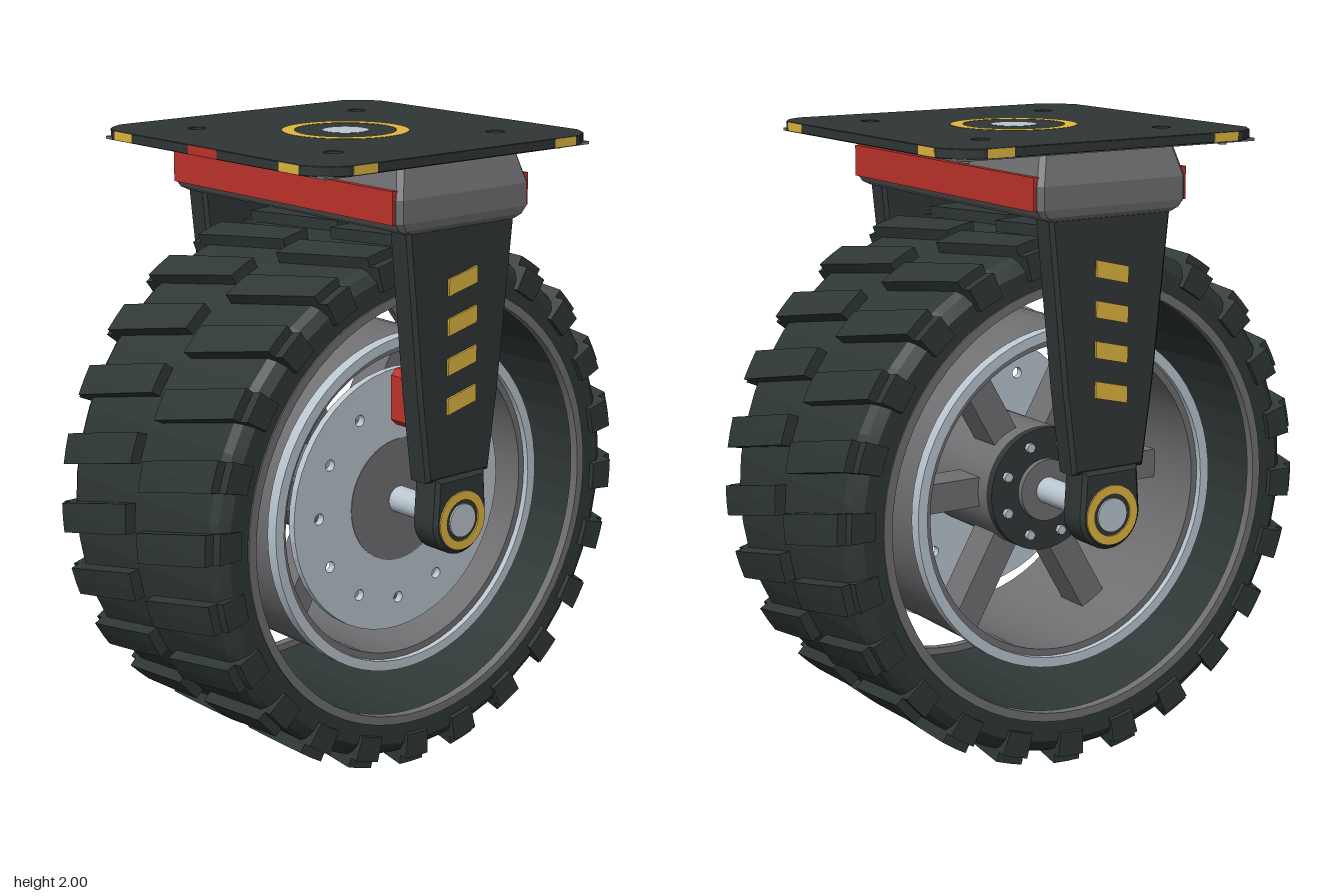
import * as THREE from 'three';
import { toCreasedNormals } from 'three/addons/utils/BufferGeometryUtils.js';
import { ConvexGeometry } from 'three/addons/geometries/ConvexGeometry.js';

const mat = (name, color) => Object.assign(new THREE.MeshStandardMaterial({ color }), { name });

export function createModel() {
  const model = new THREE.Group();
  model.name = 'casterWheel';
  const rubber = mat('rubber', 0x2f3737);
  const paint = mat('darkPaint', 0x303636);
  const steel = mat('greySteel', 0x707073);
  const silver = mat('silver', 0xbac6cf);
  const red = mat('red', 0xc0322b);
  const gold = mat('gold', 0xe0b740);
  const AXLE = 0.855;

  const wheel = new THREE.Group();
  wheel.name = 'wheel';
  wheel.position.y = AXLE;
  model.add(wheel);

  const add = (name, geo, material, parent = model, x = 0, y = 0, z = 0) => {
    const mesh = new THREE.Mesh(geo, material);
    mesh.name = name;
    mesh.position.set(x, y, z);
    parent.add(mesh);
    return mesh;
  };
  const box = (w, h, d) => new THREE.BoxGeometry(w, h, d);
  // profile of [radius, x] pairs turned about the x axis
  const turned = (pts, segs = 64, crease = 0.5) => toCreasedNormals(
    new THREE.LatheGeometry(pts.map(p => new THREE.Vector2(...p)), segs).rotateZ(-Math.PI / 2), crease);
  const ring = (r0, r1, x0, x1, segs) =>
    turned([[r0, x0], [r1, x0], [r1, x1], [r0, x1], [r0, x0]], segs);
  const rod = (r, x0, x1, segs = 32) =>
    new THREE.CylinderGeometry(r, r, x1 - x0, segs).rotateZ(-Math.PI / 2).translate((x0 + x1) / 2, 0, 0);
  // outline drawn in the side plane, thickened along x from x0 to x1
  const sidePlate = (shape, x0, x1, bevel = 0) => new THREE.ExtrudeGeometry(shape, {
    depth: x1 - x0 - 2 * bevel, bevelEnabled: bevel > 0, bevelSize: bevel, bevelOffset: -bevel,
    bevelThickness: bevel, bevelSegments: 1, curveSegments: 24,
  }).rotateY(Math.PI / 2).translate(x0 + bevel, 0, 0);
  const poly = pts => new THREE.Shape(pts.map(p => new THREE.Vector2(...p)));
  const mirrored = (s, u, v) => s > 0 ? [u, v] : [-v, -u];
  const circle = (x, y, r) => new THREE.Path().absarc(x, y, r, 0, Math.PI * 2, true);

  // Tyre carcass, faceted
  add('tyre', turned([[0.704, -0.385], [0.775, -0.385], [0.805, -0.365], [0.82, -0.34], [0.82, 0.34],
    [0.805, 0.365], [0.775, 0.385], [0.704, 0.385], [0.704, -0.385]], 48, 0.1), rubber, wheel);

  // Tread lugs: boxes wrapped round the tyre, each half skewed about its own middle
  const lug = (s, u, v, r0, r1, angle, width) => {
    const [x0, x1] = mirrored(s, u, v);
    const g = new THREE.BoxGeometry(x1 - x0, r1 - r0, width, 4, 1, 2).toNonIndexed();
    const p = g.attributes.position;
    for (let i = 0; i < p.count; i++) {
      const x = p.getX(i) + (x0 + x1) / 2, r = p.getY(i) + (r0 + r1) / 2;
      const a = angle + 0.265 * (x - s * 0.2) - p.getZ(i);
      p.setXYZ(i, x, r * Math.sin(a), r * Math.cos(a));
    }
    g.computeVertexNormals();
    return g;
  };
  const LUGS = 24, step = Math.PI * 2 / LUGS;
  for (let i = 0; i < LUGS; i++) for (const s of [-1, 1]) {
    add('treadLug', lug(s, 0.028, 0.37, 0.8, 0.855, i * step, step * 0.44), rubber, wheel);
    add('shoulderLug', lug(s, 0.365, 0.402, 0.745, 0.825, i * step, step * 0.44), rubber, wheel);
  }

  // Bead rings, rim barrel and lips
  for (const s of [-1, 1]) {
    add('beadRing', ring(0.68, 0.708, s * 0.375 - 0.015, s * 0.375 + 0.015), steel, wheel);
    add('rimLip', ring(0.518, 0.55, s * 0.3 - 0.02, s * 0.3 + 0.02), silver, wheel);
  }
  add('rimBarrel', ring(0.496, 0.54, -0.3, 0.3), steel, wheel);

  // Hub, bolted flange and spokes
  add('hub', rod(0.2, -0.15, 0.262, 48), steel, wheel);
  add('hubFlange', rod(0.2, -0.18, -0.15, 48), paint, wheel);
  add('flangeCollar', rod(0.1, -0.2, -0.18), steel, wheel);
  for (let i = 0; i < 8; i++) {
    const a = (i + 0.5) * Math.PI / 4;
    add('flangeBolt', rod(0.016, -0.195, -0.175, 6), silver, wheel, 0, 0.155 * Math.sin(a), 0.155 * Math.cos(a));
  }
  for (let i = 0; i < 6; i++) {
    add('spoke', box(0.12, 0.095, 0.36).translate(-0.04, 0, 0.335), steel, wheel).rotation.x = i * Math.PI / 3;
  }

  // Brake disc with twelve holes, and caliper
  const disc = new THREE.Shape().absarc(0, 0, 0.43, 0, Math.PI * 2);
  disc.holes.push(circle(0, 0, 0.195));
  for (let i = 0; i < 12; i++) {
    const a = i * Math.PI / 6;
    disc.holes.push(circle(0.33 * Math.cos(a), 0.33 * Math.sin(a), 0.018));
  }
  add('brakeDisc', sidePlate(disc, 0.235, 0.26), silver, wheel);
  const caliper = poly([[-0.08, 1.13], [0.08, 1.13], [0.1, 1.15], [0.1, 1.29], [0.08, 1.31],
    [-0.08, 1.31], [-0.1, 1.29], [-0.1, 1.15]]);
  add('brakeCaliper', sidePlate(caliper, 0.32, 0.435, 0.012), red);

  // Axle
  add('axle', rod(0.043, -0.5, 0.5), silver, wheel);

  // Fork legs with axle ends and slanted stripes
  const legShape = poly([[-0.13, 0.99], [0.13, 0.99], [0.165, 1.25], [0.22, 1.78], [-0.22, 1.78], [-0.165, 1.25]]);
  const endShape = new THREE.Shape();
  endShape.moveTo(0.1, 1.0);
  endShape.lineTo(-0.1, 1.0);
  endShape.lineTo(-0.11, AXLE);
  endShape.absarc(0, AXLE, 0.11, Math.PI, Math.PI * 2);
  endShape.lineTo(0.1, 1.0);
  for (const s of [-1, 1]) {
    add('forkLeg', sidePlate(legShape, ...mirrored(s, 0.447, 0.537), 0.012), paint);
    add('axleEnd', sidePlate(endShape, ...mirrored(s, 0.44, 0.55), 0.012), paint);
    add('axleEndRing', ring(0.066, 0.094, ...mirrored(s, 0.546, 0.555), 32), gold, wheel);
    add('axleCap', rod(0.053, ...mirrored(s, 0.5, 0.556)), silver, wheel);
    for (const y of [1.605, 1.483, 1.36, 1.237]) {
      const stripe = poly([[-0.058, y - 0.04], [0.058, y - 0.012], [0.058, y + 0.04], [-0.058, y + 0.012]]);
      add('legStripe', sidePlate(stripe, ...mirrored(s, 0.536, 0.544)), gold);
    }
  }

  // Crown beam with red strips on both faces
  const corners = [];
  for (const [y, hx, hz] of [[1.77, 0.54, 0.225], [1.782, 0.546, 0.25], [1.805, 0.55, 0.266],
    [1.875, 0.55, 0.266], [1.97, 0.522, 0.24]])
    for (const sx of [-1, 1]) for (const sz of [-1, 1]) {
      corners.push(new THREE.Vector3(sx * hx, y, sz * (hz - 0.015)), new THREE.Vector3(sx * (hx - 0.015), y, sz * hz));
    }
  add('crown', new ConvexGeometry(corners), steel);
  for (const s of [-1, 1]) add('crownStrip', box(1.06, 0.1, 0.02), red, model, 0, 1.852, s * 0.266);

  // Mounting plate with clipped corners and bolt holes
  const P = 0.56, C = 0.465, M = 0.53;
  const outline = [];
  for (let q = 0; q < 4; q++) {
    const c = Math.round(Math.cos(q * Math.PI / 2)), n = Math.round(Math.sin(q * Math.PI / 2));
    for (const [u, v] of [[P, C], [M, M - 0.015], [M - 0.015, M], [C, P]]) outline.push([u * c - v * n, u * n + v * c]);
  }
  const plate = poly(outline);
  for (const sx of [-1, 1]) for (const sz of [-1, 1]) plate.holes.push(circle(sx * 0.33, sz * 0.33, 0.028));
  const laid = (shape, y, depth, bevel) => new THREE.ExtrudeGeometry(shape, {
    depth: depth - 2 * bevel, bevelEnabled: bevel > 0, bevelSize: bevel, bevelOffset: -bevel,
    bevelThickness: bevel, bevelSegments: 1,
  }).rotateX(-Math.PI / 2).translate(0, y + bevel, 0);
  add('mountingPlate', laid(plate, 1.969, 0.03, 0.002), paint);
  const square = h => [[-h, -h], [h, -h], [h, h], [-h, h]];
  const frame = poly(square(0.535));
  frame.holes.push(poly(square(0.475)));
  add('underFrame', laid(frame, 1.963, 0.009, 0), steel);
  add('underPanel', box(0.95, 0.006, 0.95), paint, model, 0, 1.967, 0);
  for (const sx of [-1, 1]) for (const sz of [-1, 1]) {
    add('underBolt', new THREE.CylinderGeometry(0.013, 0.013, 0.016, 8), steel, model, sx * 0.465, 1.958, sz * 0.465);
  }

  // Swivel ring and pin on the plate top
  add('swivelRing', ring(0.16, 0.2, -0.003, 0.002).rotateZ(Math.PI / 2), gold, model, 0, 1.998, 0);
  add('swivelPin', new THREE.CylinderGeometry(0.074, 0.074, 0.006, 32), silver, model, 0, 1.997, 0);

  // Edge markers
  for (let q = 0; q < 4; q++) {
    const side = new THREE.Group();
    side.name = 'edgeMarkers';
    side.rotation.y = q * Math.PI / 2;
    model.add(side);
    for (const s of [-1, 1]) add('edgeMarker', box(0.09, 0.028, 0.008), gold, side, s * 0.405, 1.984, 0.557);
  }
  add('frontMarker', box(0.14, 0.028, 0.008), red, model, 0, 1.984, 0.557);

  return model;
}
